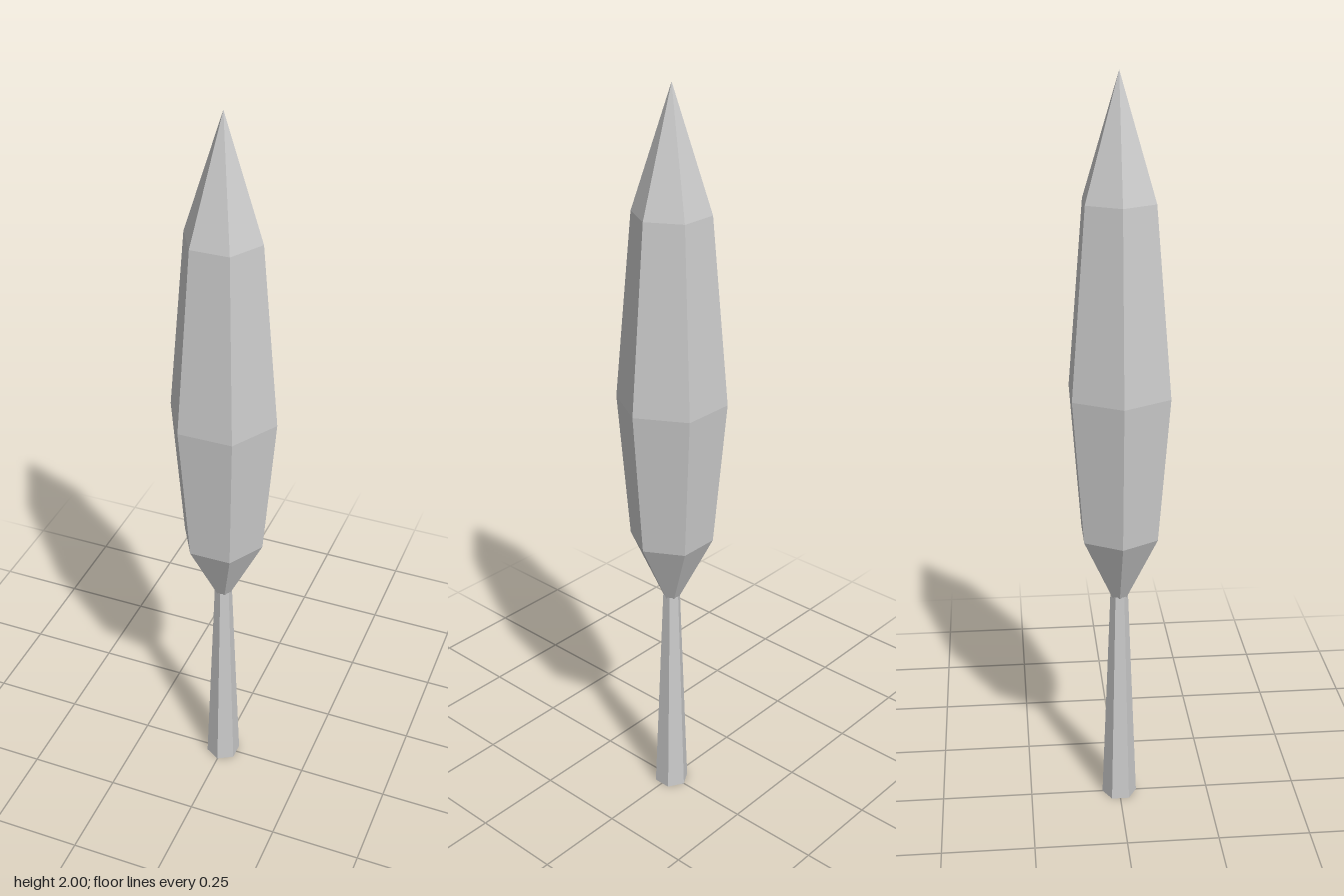
import * as THREE from 'three';

const SIDES = 6;

// Six-sided faceted solid of revolution from [radius, height] pairs, bottom to top
function facetedLathe(name, profile, phiStart) {
  const points = profile.map(([r, y]) => new THREE.Vector2(r, y));
  const geometry = new THREE.LatheGeometry(points, SIDES, phiStart, Math.PI * 2);
  const material = new THREE.MeshStandardMaterial({
    color: 0xcccccc, flatShading: true, side: THREE.DoubleSide,
  });
  const mesh = new THREE.Mesh(geometry, material);
  mesh.name = name;
  return mesh;
}

export function createModel() {
  const tree = new THREE.Group();
  tree.name = 'cypressTree';

  // Tapered trunk, open at the foot, with corners on the z axis
  tree.add(facetedLathe('trunk', [[0.048, 0], [0.024, 0.625]], 0));

  // Slender pointed crown, with corners on the x axis
  tree.add(facetedLathe('foliage', [
    [0.022, 0.62], [0.112, 0.805], [0.145, 1.2], [0.101, 1.69], [0, 2],
  ], Math.PI / 6));

  return tree;
}
